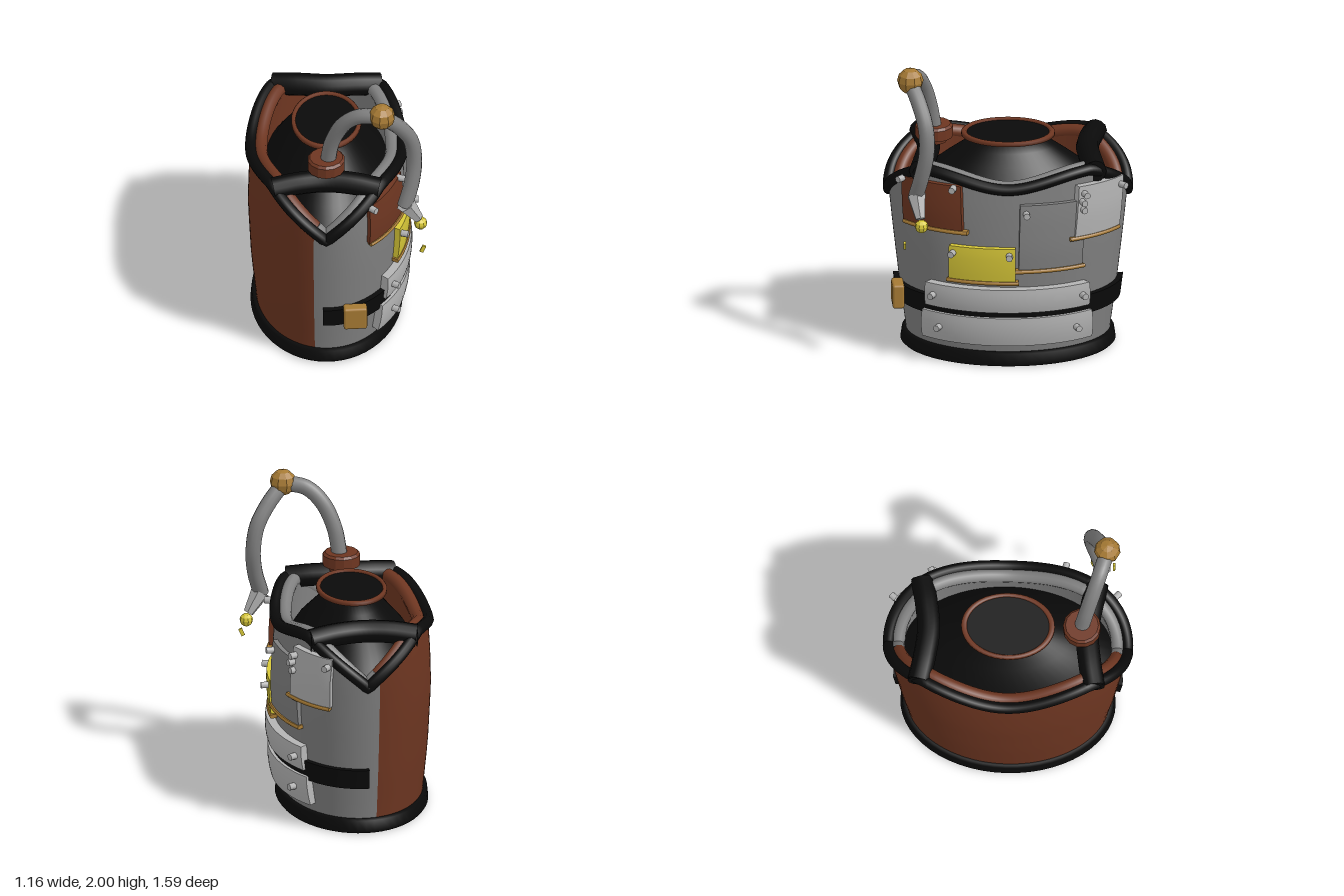
import * as THREE from 'three';
import { RoundedBoxGeometry } from 'three/addons/geometries/RoundedBoxGeometry.js';

const CX = -0.07; // centre of the oval body
const V = (x, y, z) => new THREE.Vector3(x, y, z);
const mat = (name, color, extra = {}) => {
  const m = new THREE.MeshStandardMaterial({ color, ...extra });
  m.name = name;
  return m;
};

// oval body radii by height: [y, x radius, z radius]
const PROFILE = [[0, 0.44, 0.64], [0.1, 0.45, 0.65], [0.4, 0.48, 0.69], [0.8, 0.5, 0.735], [1.05, 0.493, 0.76], [1.35, 0.47, 0.775]];
function radii(y) {
  let i = 0;
  while (i < PROFILE.length - 2 && y > PROFILE[i + 1][0]) i++;
  const [a, b] = [PROFILE[i], PROFILE[i + 1]];
  const t = (y - a[0]) / (b[0] - a[0]);
  return [a[1] + (b[1] - a[1]) * t, a[2] + (b[2] - a[2]) * t];
}
// point on the body; angle 0 is the front, PI/2 the +x side
function onBody(angle, y, off) {
  const [rx, rz] = radii(y);
  return V(CX + (rx + off) * Math.sin(angle), y, (rz + off) * Math.cos(angle));
}
const angleAt = (z, y, off) => Math.acos(THREE.MathUtils.clamp(z / (radii(y)[1] + off), -1, 1));

// wavy rim: a notch at front and back, a dip at each side
function rimHeight(angle) {
  const s = Math.abs(Math.sin(angle)), c = Math.abs(Math.cos(angle));
  if (s < 0.73) return 1.025 + 0.28 * Math.pow(s / 0.73, 0.9);
  return 1.215 + 0.09 * THREE.MathUtils.smoothstep(c, 0, 0.683);
}

// box bent by a rule; u, v, w run 0..1
function bentBox(nu, nv, rule) {
  const g = new THREE.BoxGeometry(1, 1, 1, nu, nv, 1);
  const p = g.attributes.position;
  for (let i = 0; i < p.count; i++) {
    const q = rule(p.getX(i) + 0.5, p.getY(i) + 0.5, p.getZ(i) + 0.5);
    p.setXYZ(i, q.x, q.y, q.z);
  }
  g.computeVertexNormals();
  return g;
}
const lerp = THREE.MathUtils.lerp;

export function createModel() {
  const root = new THREE.Group();
  const M = {
    brown: mat('brown leather', 0x6e3621),
    grey: mat('steel', 0x808080),
    light: mat('pale steel', 0xb4b4b4),
    yellow: mat('yellow', 0xd8c838),
    gold: mat('brass', 0xa67a34),
    black: mat('black', 0x0a0a0a, { side: THREE.DoubleSide }),
  };
  const add = (name, geo, m, parent = root) => {
    const mesh = new THREE.Mesh(geo, m);
    mesh.name = name;
    parent.add(mesh);
    return mesh;
  };

  // thick shell in two colours, each with a rounded inner lip
  const rimCurve = (a0, a1, n, off, drop) => Array.from({ length: n + 1 }, (_, i) => {
    const a = lerp(a0, a1, i / n), p = onBody(a, rimHeight(a), off);
    p.y -= drop;
    return p;
  });
  function shell(name, m, a0, a1, n) {
    add(name, bentBox(n, 12, (u, v, w) => {
      const a = lerp(a0, a1, u);
      return onBody(a, lerp(0.04, rimHeight(a) - 0.01, v), lerp(-0.1, 0, w));
    }), m);
    const lip = new THREE.CatmullRomCurve3(rimCurve(a0, a1, n, -0.062, 0.008));
    add(name + 'Lip', new THREE.TubeGeometry(lip, n * 2, 0.043, 10), m);
  }
  shell('steelShell', M.grey, -0.16, Math.PI + 0.16, 60);
  shell('leatherShell', M.brown, Math.PI + 0.16, Math.PI * 2 - 0.16, 52);

  // black trim along the rim
  const rim = rimCurve(0, Math.PI * 2, 120, 0, 0).slice(0, -1);
  add('rimTrim', new THREE.TubeGeometry(new THREE.CatmullRomCurve3(rim, true), 240, 0.037, 10, true), M.black);

  // base band
  const band = [[0.6, 0.01], [0.63, 0], [0.67, 0], [0.685, 0.015], [0.675, 0.085], [0.655, 0.095], [0.61, 0.09], [0.6, 0.01]];
  const lathe = (pts, n) => new THREE.LatheGeometry(pts.map(([r, y]) => new THREE.Vector2(r, y)), n);
  const base = add('baseBand', lathe(band, 56), M.black);
  base.scale.x = 0.705;
  base.position.x = CX;

  // inner lid, inner floor and mouth ring
  const lid = add('lid', lathe([[0.665, 1.04], [0.56, 1.15], [0.4, 1.27], [0.3, 1.34], [0.21, 1.405], [0, 1.412]], 48), M.black);
  lid.scale.x = 0.62;
  lid.position.x = CX;
  const floor = add('innerFloor', new THREE.CylinderGeometry(0.6, 0.6, 0.02, 48), M.black);
  floor.scale.x = 0.64;
  floor.position.set(CX, 0.24, 0);
  const disc = add('mouthDisc', new THREE.CylinderGeometry(0.275, 0.275, 0.01, 40), M.black);
  disc.scale.x = 0.75;
  disc.position.set(CX, 1.415, 0);
  const ring = add('mouthRing', lathe([[0.262, 1.405], [0.298, 1.405], [0.298, 1.425], [0.288, 1.433], [0.27, 1.433], [0.262, 1.425], [0.262, 1.405]], 48), M.brown);
  ring.scale.x = 0.75;
  ring.position.x = CX;

  // cross rolls joining the rim peaks
  for (const s of [1, -1]) {
    const c = new THREE.CatmullRomCurve3([V(-0.41, 1.29, 0.555 * s), V(-0.25, 1.31, 0.525 * s), V(CX, 1.315, 0.505 * s), V(0.11, 1.31, 0.525 * s), V(0.27, 1.29, 0.555 * s)]);
    add(s > 0 ? 'frontRoll' : 'backRoll', new THREE.TubeGeometry(c, 20, 0.073, 12), M.black);
    for (const [x, d] of [[-0.41, -1], [0.27, 1]]) {
      const end = add('rollEnd', new THREE.CircleGeometry(0.073, 12), M.black);
      end.position.set(x, 1.29, 0.555 * s);
      end.rotation.y = d * Math.PI / 2;
    }
  }

  // belt and buckle
  add('belt', bentBox(48, 1, (u, v, w) => onBody(lerp(-0.04, Math.PI + 0.03, u), lerp(0.32, 0.45, v), lerp(-0.01, 0.035, w))), M.black);
  const buckle = add('buckle', new RoundedBoxGeometry(0.15, 0.16, 0.075, 2, 0.015), M.gold);
  buckle.position.set(0.115, 0.385, 0.7);
  buckle.rotation.y = 0.08;

  // curved plates on the +x side with rivets [z, y]
  function plate(name, m, z0, z1, y0, y1, off, bulge, rivets, skew = 0) {
    const group = new THREE.Group();
    group.name = name;
    root.add(group);
    add('panel', bentBox(20, 6, (u, v, w) => {
      const y = lerp(y0, y1, v);
      const a = angleAt(lerp(z0, z1, u) - skew * v, y, off);
      return onBody(a, y, w < 0.5 ? -0.01 : off + bulge * (1 - (2 * v - 1) ** 2));
    }), m, group);
    for (const [z, y] of rivets) {
      const a = angleAt(z, y, off + 0.02);
      const r = add('rivet', new THREE.CylinderGeometry(0.022, 0.022, 0.06, 8), M.light, group);
      r.position.copy(onBody(a, y, off + bulge + 0.015));
      const [rx, rz] = radii(y);
      r.quaternion.setFromUnitVectors(V(0, 1, 0), V(Math.sin(a) / rx, 0, Math.cos(a) / rz).normalize());
    }
  }
  const ledge = (z0, z1, y, off) => plate('brassLedge', M.gold, z0, z1, y, y + 0.025, off, 0.008, []);

  plate('lowerStrip', M.light, 0.545, -0.535, 0.155, 0.35, 0.055, 0.009, [[0.44, 0.255], [-0.44, 0.255]]);
  plate('upperStrip', M.light, 0.525, -0.52, 0.39, 0.55, 0.055, 0.008, [[0.48, 0.475], [-0.48, 0.475]]);
  plate('yellowPlate', M.yellow, 0.375, -0.05, 0.6, 0.83, 0.035, 0.005, [[0.355, 0.785], [-0.01, 0.785]]);
  ledge(0.39, -0.07, 0.577, 0.04);
  plate('middlePlate', M.grey, -0.07, -0.475, 0.68, 1.12, 0.03, 0.005, [[-0.12, 1.065], [-0.48, 1.065]], 0.01);
  ledge(-0.05, -0.49, 0.657, 0.04);
  plate('rearPlate', M.light, -0.43, -0.71, 0.88, 1.22, 0.045, 0.005, [[-0.495, 1.17], [-0.73, 1.165], [-0.48, 1.12]], 0.025);
  ledge(-0.4, -0.71, 0.858, 0.05);
  plate('leatherPlate', M.brown, 0.665, 0.29, 0.93, 1.235, 0.032, 0.005, [[0.68, 1.22], [0.35, 1.22]], -0.01);
  ledge(0.665, 0.26, 0.912, 0.04);

  // hose socket
  const socket = lathe([[0, 1.36], [0.08, 1.36], [0.085, 1.39], [0.12, 1.395], [0.12, 1.465], [0.105, 1.48], [0, 1.48]], 14).toNonIndexed();
  socket.computeVertexNormals();
  add('hoseSocket', socket, M.brown).position.set(CX, 0, 0.47);

  // hose in two runs, joined by a brass ball
  const hose = (name, pts) => add(name, new THREE.TubeGeometry(new THREE.CatmullRomCurve3(pts), 28, 0.05, 12), M.grey);
  hose('risingHose', [V(-0.06, 1.45, 0.47), V(-0.03, 1.63, 0.5), V(0.04, 1.79, 0.54), V(0.14, 1.885, 0.58), V(0.28, 1.91, 0.62)]);
  hose('hangingHose', [V(0.28, 1.91, 0.62), V(0.39, 1.79, 0.56), V(0.465, 1.66, 0.52), V(0.49, 1.5, 0.515), V(0.475, 1.34, 0.545), V(0.43, 1.18, 0.585)]);
  const ballGeo = (r) => {
    const g = new THREE.SphereGeometry(r, 9, 6).toNonIndexed();
    g.computeVertexNormals();
    return g;
  };
  add('hoseJoint', ballGeo(0.085), M.gold).position.set(0.285, 1.915, 0.62);

  // nozzle, tip and falling drop
  const from = V(0.435, 1.19, 0.58), to = V(0.515, 1.06, 0.555);
  const cone = new THREE.CylinderGeometry(0.034, 0.064, from.distanceTo(to), 6).toNonIndexed();
  cone.computeVertexNormals();
  const nozzle = add('nozzle', cone, M.light);
  nozzle.position.copy(from).lerp(to, 0.5);
  nozzle.quaternion.setFromUnitVectors(V(0, 1, 0), to.clone().sub(from).normalize());
  add('nozzleTip', ballGeo(0.043), M.yellow).position.set(0.53, 1.015, 0.548);
  const drop = add('drop', new THREE.BoxGeometry(0.024, 0.05, 0.014), M.yellow);
  drop.position.set(0.545, 0.89, 0.655);
  drop.rotation.z = -0.4;

  return root;
}
